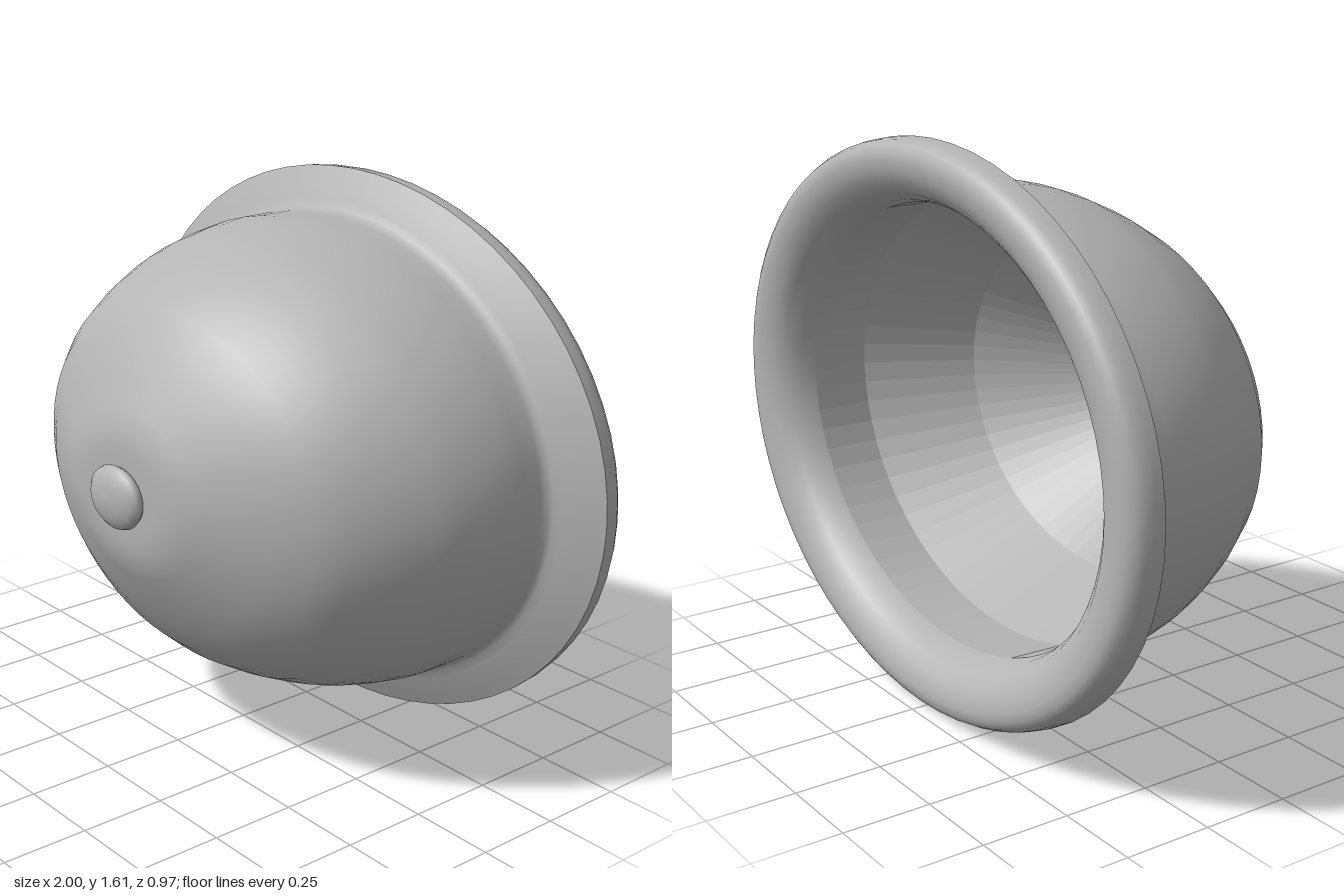
import * as THREE from 'three';

const SEGMENTS = 64;
const ASPECT = 0.805; // oval height over width

// Oval shell turned around the z axis; profile points are [half width, z]
function ovalShell(name, profile, material, faceted = false) {
  let geometry = new THREE.LatheGeometry(profile.map(([r, z]) => new THREE.Vector2(r, z)), SEGMENTS);
  geometry.scale(1, 1, ASPECT);
  geometry.rotateX(Math.PI / 2);
  geometry.translate(0, ASPECT, 0);
  if (faceted) {
    geometry = geometry.toNonIndexed();
    geometry.computeVertexNormals();
  }
  const mesh = new THREE.Mesh(geometry, material);
  mesh.name = name;
  return mesh;
}

export function createModel() {
  const ceramic = new THREE.MeshStandardMaterial({ color: 0xb4b4b4 });
  ceramic.name = 'grey ceramic';

  const group = new THREE.Group();
  group.name = 'ovalBasin';

  // Outside: flared flange, short straight wall, rounded bowl, flat base
  group.add(ovalShell('bowlOutside', [
    [1, -0.4], [0.94, -0.373], [0.89, -0.352], [0.865, -0.343], [0.853, -0.332], [0.848, -0.315],
    [0.847, -0.26], [0.846, -0.2], [0.83, -0.12], [0.81, -0.05], [0.785, 0.01], [0.735, 0.1],
    [0.67, 0.19], [0.6, 0.255], [0.5, 0.313], [0.4, 0.358], [0.3, 0.4], [0.25, 0.417],
    [0.2, 0.427], [0.15, 0.43], [0, 0.43],
  ], ceramic));

  // Rolled rim, from the inner lip round to the sharp flange edge
  group.add(ovalShell('rim', [
    [0.775, -0.36], [0.787, -0.4], [0.815, -0.44], [0.85, -0.466], [0.89, -0.48], [0.925, -0.485],
    [0.955, -0.483], [0.978, -0.47], [0.992, -0.45], [0.998, -0.425], [1, -0.4],
  ], ceramic));

  // Inside: flat bottom and broad faceted bands
  group.add(ovalShell('bowlInside', [
    [0, 0.36], [0.36, 0.36], [0.61, 0.115], [0.78, -0.185], [0.775, -0.36],
  ], ceramic, true));

  // Drain boss on the base
  group.add(ovalShell('drainBoss', [
    [0.085, 0.425], [0.104, 0.433], [0.112, 0.445], [0.107, 0.458], [0.09, 0.47],
    [0.06, 0.479], [0.03, 0.483], [0, 0.485],
  ], ceramic));

  return group;
}
